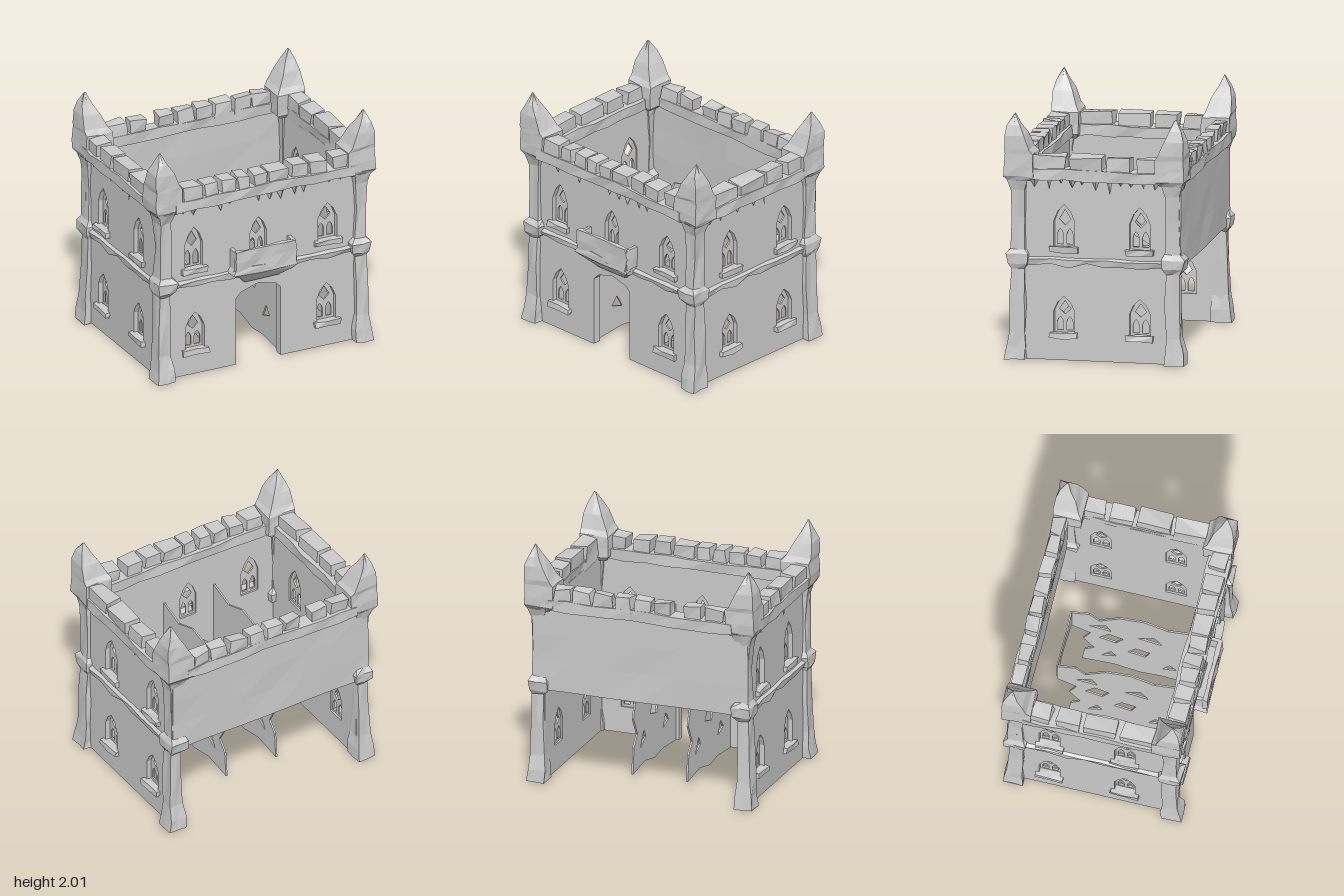
import * as THREE from 'three';

const mat = new THREE.MeshStandardMaterial({ color: 0xcccccc, flatShading: true, side: THREE.DoubleSide });

// Seeded number in -1..1 from a position, so coincident corners move together
function hash(x, y, z) {
  const s = Math.sin(Math.round(x * 200) * 12.99 + Math.round(y * 200) * 78.23 + Math.round(z * 200) * 37.72) * 43758.5453;
  return (s - Math.floor(s)) * 2 - 1;
}

// Chips the stone by shifting every vertex a little
function roughen(geo, amount) {
  const p = geo.attributes.position;
  for (let i = 0; i < p.count; i++) {
    const x = p.getX(i), y = p.getY(i), z = p.getZ(i);
    p.setXYZ(i, x + amount * hash(x, y, z), y + amount * hash(y, z + 3, x), z + amount * hash(z + 5, x, y));
  }
  geo.computeVertexNormals();
  return geo;
}

function add(parent, name, geo) {
  const mesh = new THREE.Mesh(geo, mat);
  mesh.name = name;
  parent.add(mesh);
  return mesh;
}

// Box given by its limits, split into segments and chipped
function stone(parent, name, x0, x1, y0, y1, z0, z1, rough = 0.008, seg = [1, 1, 1]) {
  const geo = new THREE.BoxGeometry(x1 - x0, y1 - y0, z1 - z0, ...seg);
  geo.translate((x0 + x1) / 2, (y0 + y1) / 2, (z0 + z1) / 2);
  return add(parent, name, roughen(geo, rough));
}

// Tapering block through rectangular rings [y, x0, x1, z0, z1]
function loft(rings) {
  const pos = [], idx = [];
  for (const [y, x0, x1, z0, z1] of rings) {
    const xm = (x0 + x1) / 2, zm = (z0 + z1) / 2;
    for (const [x, z] of [[x0, z1], [xm, z1], [x1, z1], [x1, zm], [x1, z0], [xm, z0], [x0, z0], [x0, zm]]) pos.push(x, y, z);
  }
  const top = (rings.length - 1) * 8;
  for (let r = 0; r < top; r += 8) {
    for (let j = 0; j < 8; j++) {
      const a = r + j, b = r + (j + 1) % 8;
      idx.push(a, b, b + 8, a, b + 8, a + 8);
    }
  }
  for (let j = 1; j < 7; j++) idx.push(0, j + 1, j, top, top + j, top + j + 1);
  const geo = new THREE.BufferGeometry();
  geo.setAttribute('position', new THREE.Float32BufferAttribute(pos, 3));
  geo.setIndex(idx);
  return geo;
}

const points = (list) => list.map(([x, y]) => new THREE.Vector2(x, y));

// Pointed window outline
const lancet = (x, y, w, h) => points([[x - w, y], [x + w, y], [x + w, y + h * 0.6], [x + w * 0.6, y + h * 0.84], [x, y + h], [x - w * 0.6, y + h * 0.84], [x - w, y + h * 0.6]]);

function plate(outline, holes, depth, z) {
  const shape = new THREE.Shape(points(outline));
  shape.holes = holes.map((h) => new THREE.Path(h));
  return new THREE.ExtrudeGeometry(shape, { depth, bevelEnabled: false }).translate(0, 0, z);
}

// A wall facing +z with windows, sills, string course and hanging corbels
function facade(name, half, face, windows, door) {
  const g = new THREE.Group();
  g.name = name;
  const outline = [[-half, 0], ...door, [half, 0], [half, 1.5], [-half, 1.5]];
  add(g, name + 'Panel', plate(outline, windows.map((w) => lancet(...w)), 0.07, face - 0.07));
  for (const [x, y, w, h] of windows) {
    // Tracery with two lights and a small opening above
    const rim = lancet(x, y, w, h).map((p) => [p.x, p.y]);
    const lights = [lancet(x - w * 0.46, y + 0.02, w * 0.3, h * 0.36), lancet(x + w * 0.46, y + 0.02, w * 0.3, h * 0.36),
      points([[x, y + h * 0.5], [x + w * 0.55, y + h * 0.64], [x, y + h * 0.86], [x - w * 0.55, y + h * 0.64]])];
    add(g, 'windowTracery', plate(rim, lights, 0.015, face - 0.055));
    stone(g, 'windowSill', x - w - 0.03, x + w + 0.03, y - 0.04, y + 0.005, face - 0.03, face + 0.035, 0.008, [2, 1, 1]);
  }
  // String course, wedge shaped, with an uneven lower edge
  const n = Math.round(half * 14);
  const band = new THREE.BoxGeometry(half * 2, 0.08, 0.06, n, 1, 1).translate(0, 0.81, face);
  const p = band.attributes.position;
  for (let i = 0; i < p.count; i++) {
    if (p.getY(i) < 0.8) p.setXYZ(i, p.getX(i), 0.775 + 0.02 * hash(p.getX(i), 1, 2), p.getZ(i) - 0.01);
    else if (p.getZ(i) > face) p.setY(i, 0.825);
  }
  add(g, 'stringCourse', roughen(band, 0.006));
  // Broken corbel teeth below the parapet
  const teeth = Math.round(half * 16);
  for (let i = 0; i < teeth; i++) {
    const x = -half + 0.12 + (i + 0.5) * (2 * half - 0.24) / teeth + 0.02 * hash(i, half, 4);
    const h = 0.075 + 0.04 * hash(i, 7, half), r = 0.035 + 0.012 * hash(i, 2, half);
    add(g, 'corbel', roughen(new THREE.ConeGeometry(r, h, 4).rotateX(Math.PI).translate(x, 1.485 - h / 2, face + 0.012), 0.006));
  }
  return g;
}

export function createModel() {
  const model = new THREE.Group();
  model.name = 'castleKeep';
  const keep = new THREE.Group();
  keep.name = 'keep';
  keep.position.z = -0.03;
  model.add(keep);

  // Front wall with gate
  keep.add(facade('frontWall', 0.89, 0.66,
    [[-0.6, 0.22, 0.085, 0.32], [0.58, 0.22, 0.085, 0.33], [-0.61, 0.93, 0.08, 0.36], [0.59, 0.93, 0.085, 0.32], [-0.03, 0.93, 0.075, 0.33]],
    [[-0.23, 0], [-0.23, 0.58], [-0.18, 0.63], [-0.03, 0.68], [0.13, 0.64], [0.17, 0.6], [0.17, 0]]));

  // Side walls, two windows on each floor
  for (const s of [1, -1]) {
    const wins = [];
    for (const z of [0.26, -0.36]) wins.push([-s * z, 0.22, 0.085, 0.3], [-s * z, 0.92, 0.085, 0.35]);
    const side = facade(s > 0 ? 'leftWall' : 'rightWall', 0.66, 0.9, wins, []);
    side.rotation.y = s * Math.PI / 2;
    keep.add(side);
  }

  // Back wall covers only the upper floor
  stone(keep, 'backWall', -0.92, 0.92, 0.79, 1.5, -0.7, -0.63, 0.006, [6, 3, 1]);

  // Corner buttresses and turrets: [y, inner x, outer x, inner z, outer z]
  const buttress = [[0, 0.81, 0.965, 0.57, 0.735], [0.1, 0.81, 0.955, 0.57, 0.725], [0.22, 0.83, 0.945, 0.58, 0.7], [0.5, 0.83, 0.935, 0.57, 0.695],
    [0.74, 0.83, 0.93, 0.58, 0.69], [0.78, 0.79, 0.95, 0.55, 0.72], [0.86, 0.78, 0.95, 0.54, 0.73], [0.9, 0.82, 0.925, 0.57, 0.695],
    [1.15, 0.83, 0.92, 0.58, 0.685], [1.38, 0.82, 0.93, 0.57, 0.69], [1.48, 0.8, 0.96, 0.55, 0.72]];
  const turret = [[1.46, 0.78, 0.96, 0.53, 0.71], [1.5, 0.74, 0.985, 0.5, 0.735], [1.58, 0.74, 0.985, 0.5, 0.735], [1.68, 0.74, 0.98, 0.5, 0.73],
    [1.72, 0.77, 0.985, 0.53, 0.735], [1.83, 0.82, 0.98, 0.57, 0.73], [1.91, 0.865, 0.955, 0.61, 0.71], [2, 0.912, 0.918, 0.652, 0.658]];
  const range = (s, a, b) => (s > 0 ? [a, b] : [-b, -a]);
  for (const sx of [1, -1]) {
    for (const sz of [1, -1]) {
      const place = (rings) => loft(rings.map(([y, a, b, c, d]) => [y, ...range(sx, a, b), ...range(sz, c, d)]));
      add(keep, 'cornerButtress', roughen(place(buttress), 0.008));
      add(keep, 'cornerTurret', roughen(place(turret), 0.006));
    }
  }

  // Parapet beams on all four sides
  for (const s of [1, -1]) {
    stone(keep, 'parapet', -0.8, 0.8, 1.48, 1.57, ...range(s, s > 0 ? 0.55 : 0.61, 0.735), 0.009, [9, 1, 1]);
    stone(keep, 'sideParapet', ...range(s, s > 0 ? 0.83 : 0.79, 0.98), 1.48, 1.57, -0.56, 0.56, 0.009, [1, 1, 7]);
  }

  // Merlons, listed as start and end along each side
  const frontRow = [[-0.72, -0.57], [-0.54, -0.42], [-0.39, -0.27], [-0.24, -0.13], [-0.1, 0.02], [0.04, 0.21], [0.24, 0.38], [0.41, 0.56], [0.62, 0.75]];
  const backRow = [[-0.72, -0.56], [-0.52, -0.38], [-0.26, -0.12], [-0.1, 0.05], [0.07, 0.21], [0.24, 0.39], [0.42, 0.56], [0.58, 0.73]];
  const sideRow = [[-0.5, -0.34], [-0.29, -0.1], [-0.07, 0.2], [0.24, 0.52]];
  for (const [a, b] of frontRow) stone(keep, 'merlon', a, b, 1.55, 1.67, 0.58, 0.72, 0.012);
  for (const [a, b] of backRow) stone(keep, 'merlon', a, b, 1.55, 1.67, -0.72, -0.62, 0.014);
  for (const [a, b] of sideRow) {
    for (const s of [1, -1]) stone(keep, 'merlon', ...range(s, 0.83, 0.965), 1.55, 1.67, a, b, 0.012);
  }

  // Balcony above the gate
  add(keep, 'balconyBase', roughen(loft([[0.72, -0.17, 0.15, 0.64, 0.68], [0.8, -0.25, 0.22, 0.64, 0.76], [0.84, -0.31, 0.25, 0.64, 0.785], [0.89, -0.28, 0.25, 0.64, 0.78]]), 0.012));
  stone(keep, 'balconyFront', -0.29, 0.25, 0.86, 1.045, 0.75, 0.785, 0.009, [5, 2, 1]);
  for (const x of [-0.285, 0.225]) stone(keep, 'balconySide', x, x + 0.03, 0.86, 1.035, 0.65, 0.77, 0.006);

  // Ragged passage walls behind the gate, drawn as depth and height
  const ragged = [[0.58, 0], [0.3, 0.03], [0.12, 0.01], [-0.1, 0.06], [-0.36, 0.03], [-0.34, 0.25], [-0.26, 0.34], [-0.35, 0.5], [-0.29, 0.66], [-0.45, 0.74],
    [-0.45, 1.02], [-0.3, 1.08], [-0.22, 0.98], [-0.05, 1.14], [0.15, 1.18], [0.35, 1.1], [0.58, 1.16]];
  const gaps = [[[-0.2, 0.2], [-0.08, 0.26], [-0.12, 0.33]], [[0.02, 0.42], [0.16, 0.38], [0.2, 0.5], [0.08, 0.52]], [[-0.22, 0.6], [-0.08, 0.56], [-0.02, 0.68], [-0.14, 0.72]],
    [[0.3, 0.2], [0.42, 0.24], [0.36, 0.31]], [[-0.3, 0.82], [-0.12, 0.8], [-0.16, 0.9]], [[0.1, 0.78], [0.3, 0.74], [0.24, 0.86]]];
  for (const x of [-0.27, 0.2]) {
    const geo = plate(ragged.map(([z, y]) => [-z, y]), gaps.map((gap) => points(gap.map(([z, y]) => [-z, y]))), 0.015, -0.008);
    add(keep, 'passageWall', geo.rotateY(Math.PI / 2).translate(x, 0, 0));
  }
  add(keep, 'passageEnd', plate([[-0.27, 0.78], [-0.15, 0.9], [0.02, 0.84], [0.2, 0.76], [0.2, 1.04], [0.05, 0.98], [-0.27, 1.03]], [], 0.012, -0.456));

  return model;
}
